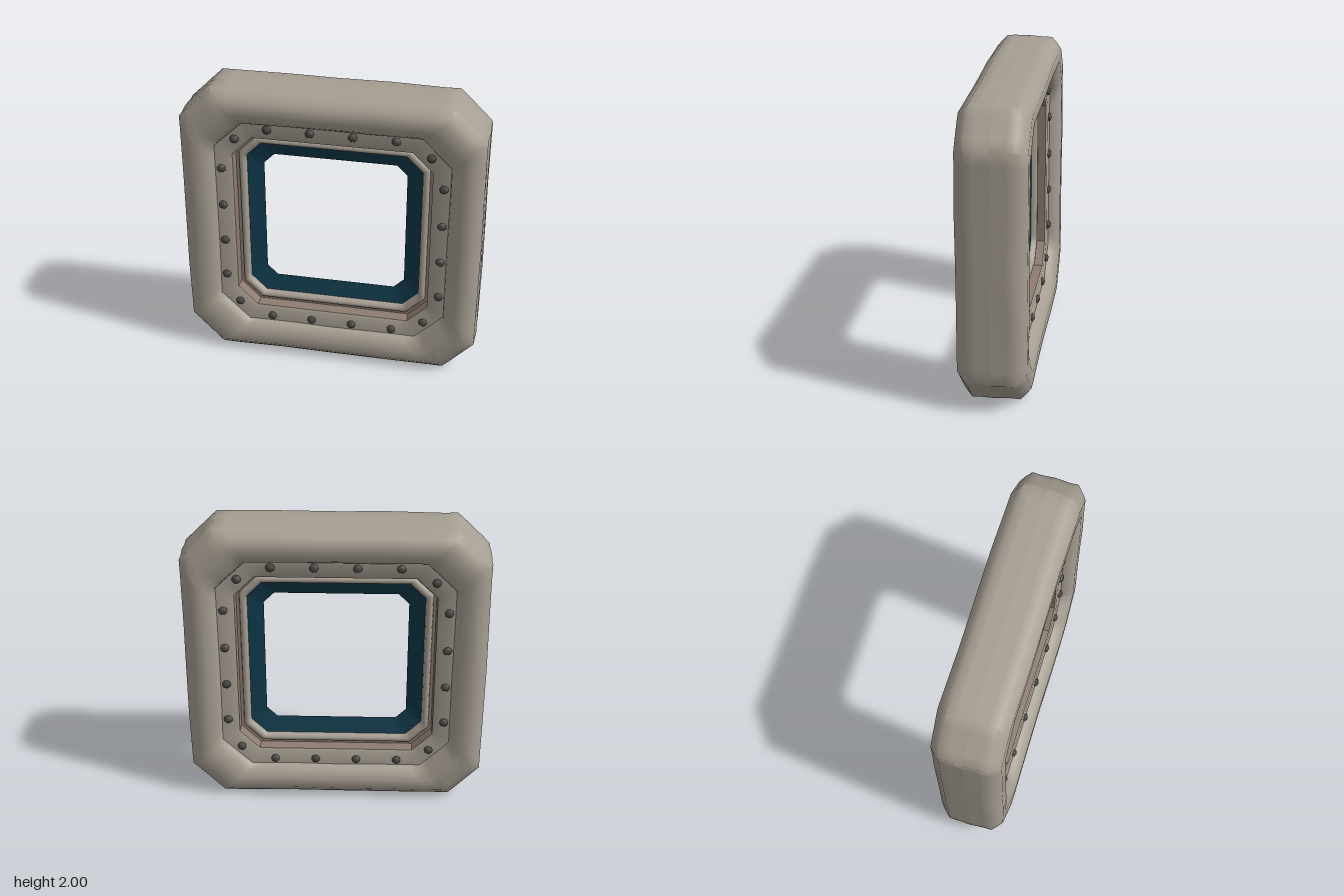
import * as THREE from 'three';
import { toCreasedNormals } from 'three/addons/utils/BufferGeometryUtils.js';

const mat = (name, color) => new THREE.MeshStandardMaterial({ name, color });

// Points round a square with cut corners: half size h, corner cut c
function octagon(h, c) {
  const k = h - c;
  const corners = [[h, -k], [h, k], [k, h], [-k, h], [-h, k], [-h, -k], [-k, -h], [k, -h]];
  const pts = [];
  corners.forEach(([x, y], i) => {
    const [nx, ny] = corners[(i + 1) % 8];
    const steps = i % 2 ? [0, 0.25, 0.75] : [0, 0.06, 0.28, 0.5, 0.72, 0.94];
    steps.forEach(t => pts.push([x + (nx - x) * t, y + (ny - y) * t]));
  });
  return pts;
}

// Loft through octagons given as [half size, corner cut, z], outside to inside
function ring(profile, crease, wobble = 0) {
  const pos = [], index = [];
  let n = 0;
  profile.forEach(([h, c, z]) => {
    const pts = octagon(h, c);
    n = pts.length;
    pts.forEach(([x, y]) => {
      // Gentle hand-hewn unevenness, fading out at the middle plane
      const w = wobble * Math.min(1, z / 0.1);
      const s = 1 - w * (0.5 + 0.5 * Math.sin(x * 9 + y * 5 + z * 14));
      pos.push(x * s, y * s, z - w * (0.5 + 0.5 * Math.sin(x * 6 - y * 8 + 1)));
    });
  });
  for (let i = 0; i < profile.length - 1; i++) {
    for (let j = 0; j < n; j++) {
      const a = i * n + j, b = i * n + (j + 1) % n;
      index.push(a, b, b + n, a, b + n, a + n);
    }
  }
  const g = new THREE.BufferGeometry();
  g.setAttribute('position', new THREE.Float32BufferAttribute(pos, 3));
  g.setIndex(index);
  return toCreasedNormals(g, crease);
}

export function createModel() {
  const stone = mat('warm grey stone', 0xa69e92);
  const brown = mat('brown recess', 0x8c7b70);
  const metal = mat('dark rivet metal', 0x4c4845);
  const teal = mat('deep teal lining', 0x10384a);

  const front = new THREE.Group();
  front.name = 'frontSide';
  const add = (name, geometry, material) => {
    const m = new THREE.Mesh(geometry, material);
    m.name = name;
    front.add(m);
    return m;
  };

  // Heavy outer frame
  add('outerFrame', ring([
    [1, 0.215, 0], [1, 0.215, 0.1], [1, 0.215, 0.16], [0.965, 0.2, 0.197], [0.93, 0.19, 0.228],
    [0.86, 0.2, 0.228], [0.81, 0.2, 0.205], [0.785, 0.197, 0.175], [0.775, 0.195, 0.14],
  ], 0.9, 0.006), stone);

  // Riveted plate, recess wall and raised bead
  add('rivetPlate', ring([[0.785, 0.195, 0.148], [0.675, 0.14, 0.145], [0.66, 0.135, 0.135]], 0.6), stone);
  add('recessWall', ring([[0.66, 0.135, 0.135], [0.655, 0.132, 0.06], [0.635, 0.125, 0.058]], 0.5), brown);
  add('innerBead', ring([
    [0.635, 0.125, 0.058], [0.63, 0.123, 0.075], [0.618, 0.118, 0.085],
    [0.602, 0.112, 0.083], [0.59, 0.107, 0.07], [0.585, 0.105, 0.043],
  ], 0.9), stone);

  // Lining that narrows towards the opening
  add('lining', ring([[0.588, 0.105, 0.045], [0.48, 0.07, 0]], 0.5), teal);

  // Rivets: four per side and one per corner
  const head = new THREE.SphereGeometry(0.031, 7, 4);
  for (let q = 0; q < 4; q++) {
    const spots = [[0.735, -0.42], [0.735, -0.14], [0.735, 0.14], [0.735, 0.42], [0.648, 0.638]];
    spots.forEach(([x, y], i) => {
      const a = q * Math.PI / 2;
      const r = add('rivet', head, metal);
      r.position.set(x * Math.cos(a) - y * Math.sin(a), x * Math.sin(a) + y * Math.cos(a), 0.148);
      r.scale.z = 0.7;
      r.rotation.z = i + q;
    });
  }

  // The back repeats the front
  const back = front.clone();
  back.name = 'backSide';
  back.rotation.y = Math.PI;

  const model = new THREE.Group();
  model.name = 'windowFrame';
  front.position.y = back.position.y = 1;
  model.add(front, back);
  return model;
}
